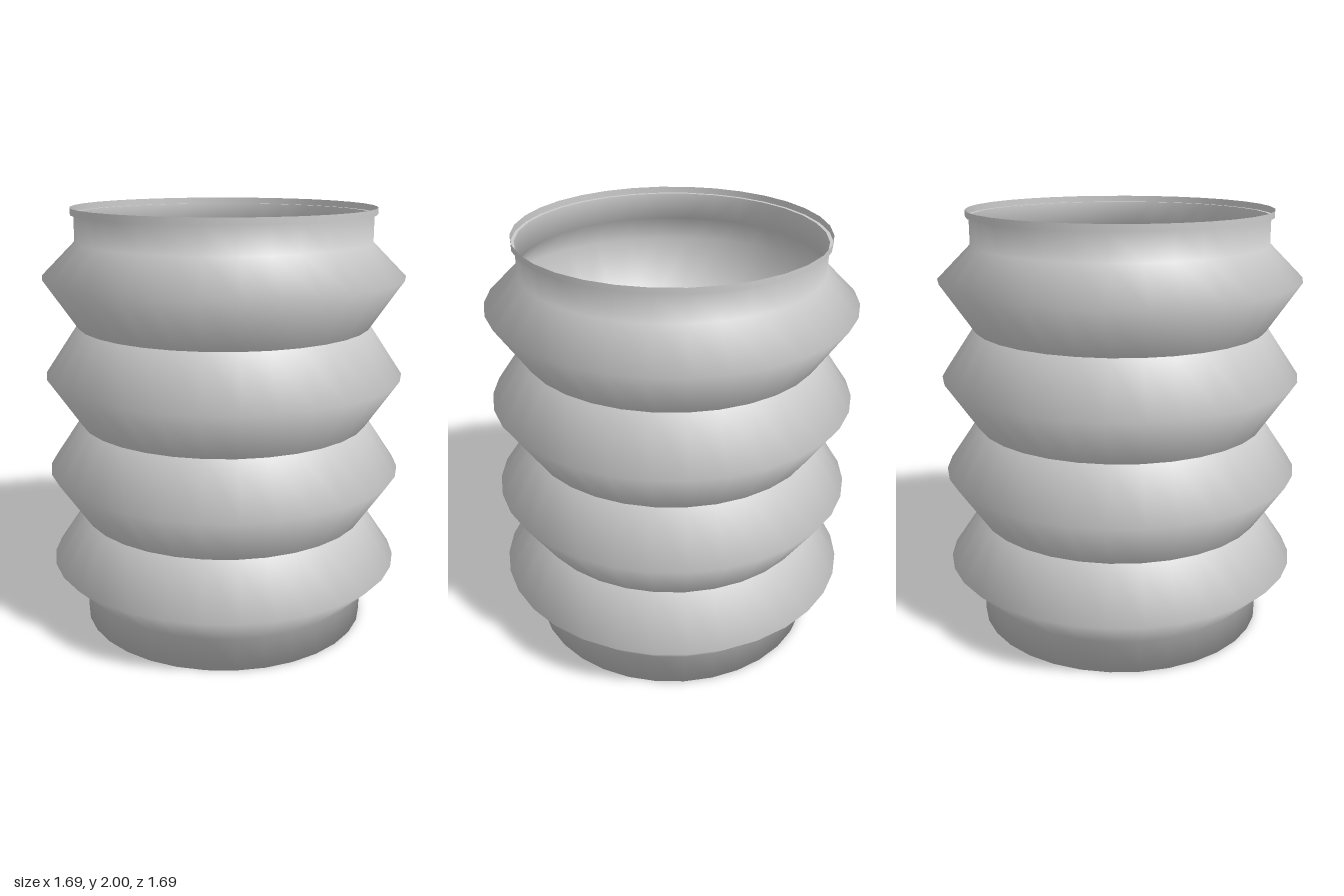
import * as THREE from 'three';

const SIDES = 32;
const WALL = 0.69, PEAK = 0.845, COLLAR = 0.706;

export function createModel() {
  const model = new THREE.Group();
  model.name = 'bellows';
  const material = new THREE.MeshStandardMaterial({ color: 0xcccccc, side: THREE.DoubleSide });

  // Revolve a profile of [radius, height] pairs; each part is smooth, seams between parts stay sharp
  function ring(name, profile) {
    const points = profile.map(([r, y]) => new THREE.Vector2(r, y));
    const mesh = new THREE.Mesh(new THREE.LatheGeometry(points, SIDES), material);
    mesh.name = name;
    model.add(mesh);
  }

  // Closed base with the lowest fold
  ring('baseFold', [[0, 0], [WALL, 0], [WALL, 0.155], [PEAK, 0.31], [WALL, 0.54]]);

  // Two identical middle folds
  for (let i = 0; i < 2; i++) {
    const y = 0.54 + i * 0.46;
    ring('middleFold' + (i + 1), [[WALL, y], [PEAK, y + 0.23], [WALL, y + 0.46]]);
  }

  // Top fold running into the straight neck
  ring('topFold', [[WALL, 1.46], [PEAK, 1.69], [WALL, 1.845], [WALL, 1.97]]);

  // Thin collar stepping out around the open mouth
  ring('collarStep', [[WALL, 1.97], [COLLAR, 1.97]]);
  ring('collarBand', [[COLLAR, 1.97], [COLLAR, 2]]);

  return model;
}
